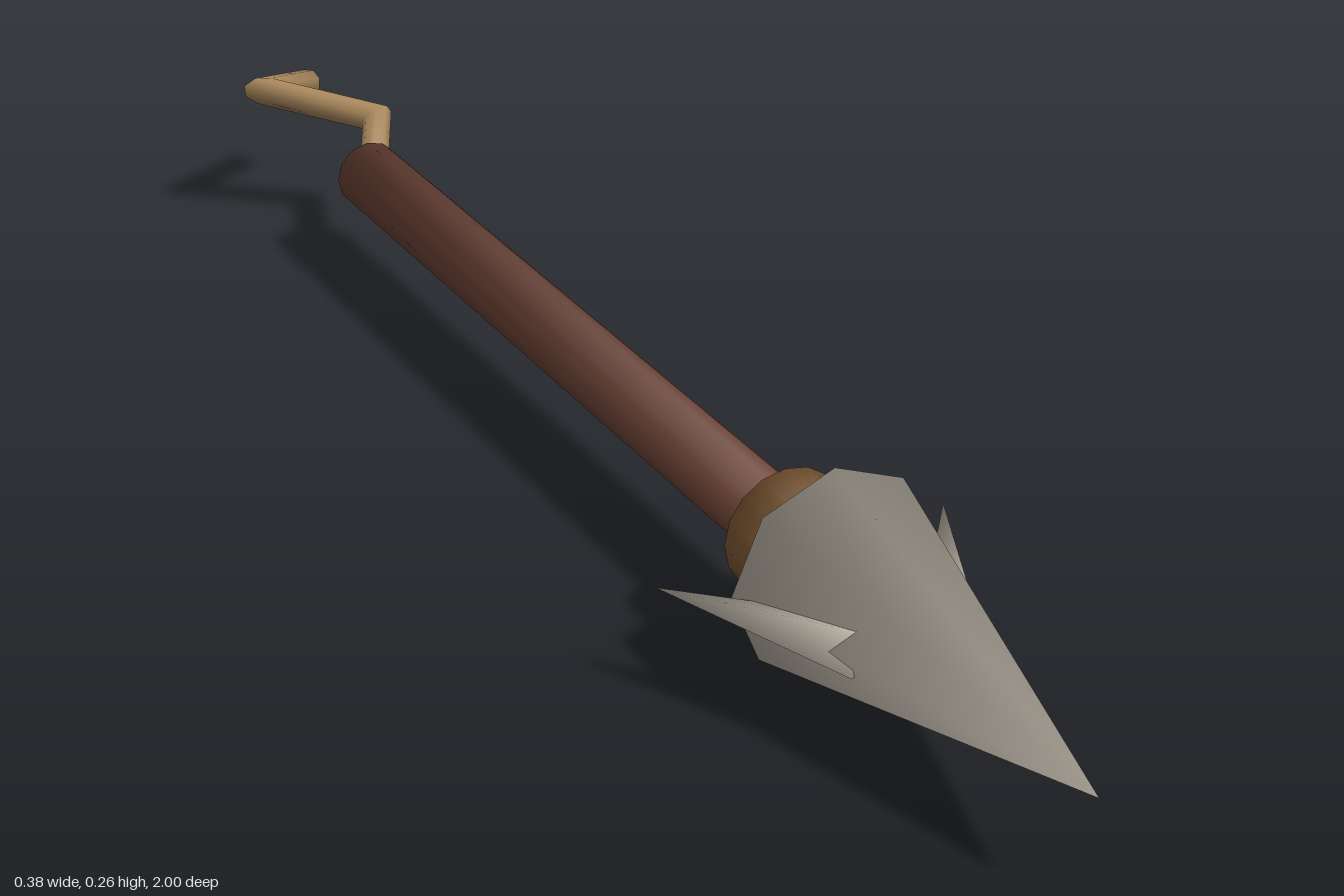
import * as THREE from 'three';
import { mergeVertices } from 'three/addons/utils/BufferGeometryUtils.js';

const AXIS_Y = 0.129;
const paint = (name, color) => {
  const m = new THREE.MeshStandardMaterial({ color });
  m.name = name;
  return m;
};

// Weld all corners and give each one the plain mean of its face normals.
function soften(source) {
  source.deleteAttribute('normal');
  source.deleteAttribute('uv');
  const geo = mergeVertices(source, 1e-5);
  const pos = geo.attributes.position, idx = geo.index;
  const sums = Array.from({ length: pos.count }, () => new THREE.Vector3());
  const tri = new THREE.Triangle(), n = new THREE.Vector3();
  for (let i = 0; i < idx.count; i += 3) {
    const ids = [idx.getX(i), idx.getX(i + 1), idx.getX(i + 2)];
    tri.setFromAttributeAndIndices(pos, ...ids);
    tri.getNormal(n);
    ids.forEach((k) => sums[k].add(n));
  }
  geo.setAttribute('normal', new THREE.Float32BufferAttribute(
    sums.flatMap((s) => s.normalize().toArray()), 3));
  return geo;
}

// Cylinder or cone lying along z, from z0 (radius r0) to z1 (radius r1).
function rod(r0, r1, z0, z1, sides) {
  const geo = new THREE.CylinderGeometry(r1, r0, z1 - z0, sides);
  geo.rotateX(Math.PI / 2).translate(0, AXIS_Y, (z0 + z1) / 2);
  return soften(geo);
}

// Bent tube with mitred corners and closed ends.
function bentTube(points, radius, sides) {
  const dirs = points.slice(1).map((p, i) => p.clone().sub(points[i]).normalize());
  const u = new THREE.Vector3(0, 1, 0).cross(dirs[0]).normalize();
  const v = dirs[0].clone().cross(u);
  const offsets = Array.from({ length: sides }, (_, k) => {
    const a = (k / sides) * Math.PI * 2;
    return u.clone().multiplyScalar(Math.cos(a) * radius).addScaledVector(v, Math.sin(a) * radius);
  });
  const verts = [], index = [];
  points.forEach((p, i) => {
    const along = dirs[Math.max(i - 1, 0)];
    const plane = along.clone().add(dirs[Math.min(i, dirs.length - 1)]);
    offsets.forEach((o) => {
      o.addScaledVector(along, -o.dot(plane) / along.dot(plane));
      verts.push(...p.clone().add(o).toArray());
    });
  });
  const last = points.length - 1, startHub = points.length * sides;
  verts.push(...points[0].toArray(), ...points[last].toArray());
  for (let k = 0; k < sides; k++) {
    const j = (k + 1) % sides;
    for (let i = 0; i < last; i++) {
      const a = i * sides + k, b = i * sides + j;
      index.push(a, b, b + sides, a, b + sides, a + sides);
    }
    index.push(startHub, j, k, startHub + 1, last * sides + k, last * sides + j);
  }
  const geo = new THREE.BufferGeometry();
  geo.setAttribute('position', new THREE.Float32BufferAttribute(verts, 3));
  geo.setIndex(index);
  return soften(geo);
}

// Four-sided spike from a base centre to a tip.
function spike(base, tip, radius) {
  const axis = tip.clone().sub(base);
  const geo = new THREE.ConeGeometry(radius, axis.length(), 4);
  geo.translate(0, axis.length() / 2, 0);
  geo.applyQuaternion(new THREE.Quaternion().setFromUnitVectors(
    new THREE.Vector3(0, 1, 0), axis.normalize()));
  geo.translate(base.x, base.y, base.z);
  return soften(geo);
}

export function createModel() {
  const metal = paint('pale metal', 0xb5ada0);
  const wood = paint('dark red wood', 0x6b4235);
  const binding = paint('brown binding', 0x805a34);
  const cord = paint('tan cord', 0xab8a5e);

  const model = new THREE.Group();
  model.name = 'harpoon';
  const add = (name, geo, mat) => {
    const mesh = new THREE.Mesh(geo, mat);
    mesh.name = name;
    model.add(mesh);
  };

  // Head, collar and shaft share one axis
  add('spearHead', rod(0.129, 0, 0.505, 1, 8), metal);
  add('collar', rod(0.078, 0.078, 0.405, 0.51, 16), binding);
  add('shaft', rod(0.047, 0.047, -0.705, 0.42, 12), wood);

  // Barbs swept back on both sides of the head
  for (const [name, s] of [['leftBarb', 1], ['rightBarb', -1]]) {
    add(name, spike(
      new THREE.Vector3(s * 0.055, AXIS_Y, 0.66),
      new THREE.Vector3(s * 0.19, AXIS_Y, 0.445), 0.038), metal);
  }

  // Zigzag cord at the tail
  const path = [[0, 0.132, -0.69], [0.062, 0.162, -0.808], [-0.068, 0.194, -0.906], [0.034, 0.157, -0.986]];
  add('tailCord', bentTube(path.map((p) => new THREE.Vector3(...p)), 0.02, 8), cord);
  return model;
}
